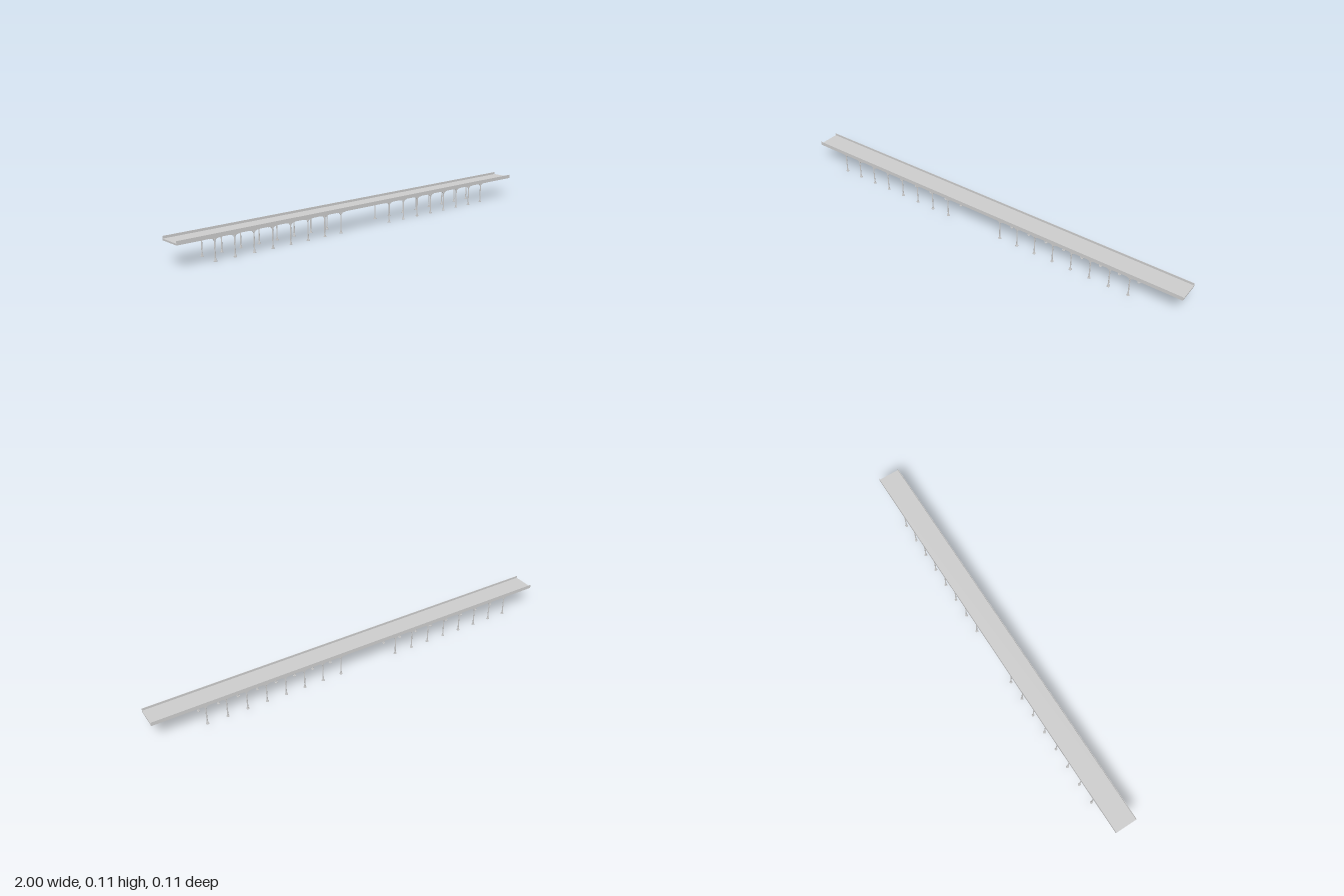
import * as THREE from 'three';

const material = new THREE.MeshStandardMaterial({ color: 0xcccccc, flatShading: true });
const DECK_BOTTOM = 0.096;
const POST_Z = 0.0483;

function add(parent, name, geometry, x = 0, y = 0, z = 0) {
  const mesh = new THREE.Mesh(geometry, material);
  mesh.name = name;
  mesh.position.set(x, y, z);
  parent.add(mesh);
  return mesh;
}

// Curved pair of brackets that spreads from the post to the deck edge
function bracketGeometry() {
  const reach = 0.023, drop = 0.018, half = 0.002, depth = 0.003;
  const shape = new THREE.Shape();
  shape.moveTo(-reach, 0);
  shape.lineTo(-reach, -0.002);
  shape.quadraticCurveTo(-half, -0.002, -half, -drop);
  shape.lineTo(half, -drop);
  shape.quadraticCurveTo(half, -0.002, reach, -0.002);
  shape.lineTo(reach, 0);
  shape.closePath();
  const geometry = new THREE.ExtrudeGeometry(shape, { depth, bevelEnabled: false, curveSegments: 8 });
  return geometry.translate(0, 0, -depth / 2);
}

export function createModel() {
  const group = new THREE.Group();
  group.name = 'bridge';

  // Deck slab with a thin parapet along each side
  add(group, 'deck', new THREE.BoxGeometry(2, 0.007, 0.102), 0, DECK_BOTTOM + 0.0035, 0);
  for (const side of [-1, 1]) {
    add(group, 'parapet', new THREE.BoxGeometry(2, 0.0175, 0.0015), 0, DECK_BOTTOM + 0.00875, side * 0.0515);
  }

  // Shared column parts
  const footing = new THREE.CylinderGeometry(0.007, 0.007, 0.003, 12);
  const plinth = new THREE.CylinderGeometry(0.0031, 0.0045, 0.011, 12);
  const shaft = new THREE.CylinderGeometry(0.0027, 0.0027, DECK_BOTTOM - 0.003, 12);
  const bracket = bracketGeometry();

  // Two runs of eight column pairs, leaving a wide middle span
  for (const [start, spacing] of [[-0.832, 0.0926], [0.112, 0.0933]]) {
    for (let i = 0; i < 8; i++) {
      for (const side of [-1, 1]) {
        const column = new THREE.Group();
        column.name = 'column';
        column.position.set(start + i * spacing, 0, side * POST_Z);
        add(column, 'footing', footing, 0, 0.0015, 0);
        add(column, 'plinth', plinth, 0, 0.0085, 0);
        add(column, 'shaft', shaft, 0, (DECK_BOTTOM + 0.003) / 2, 0);
        add(column, 'bracket', bracket, 0, DECK_BOTTOM, 0);
        group.add(column);
      }
    }
  }
  return group;
}
